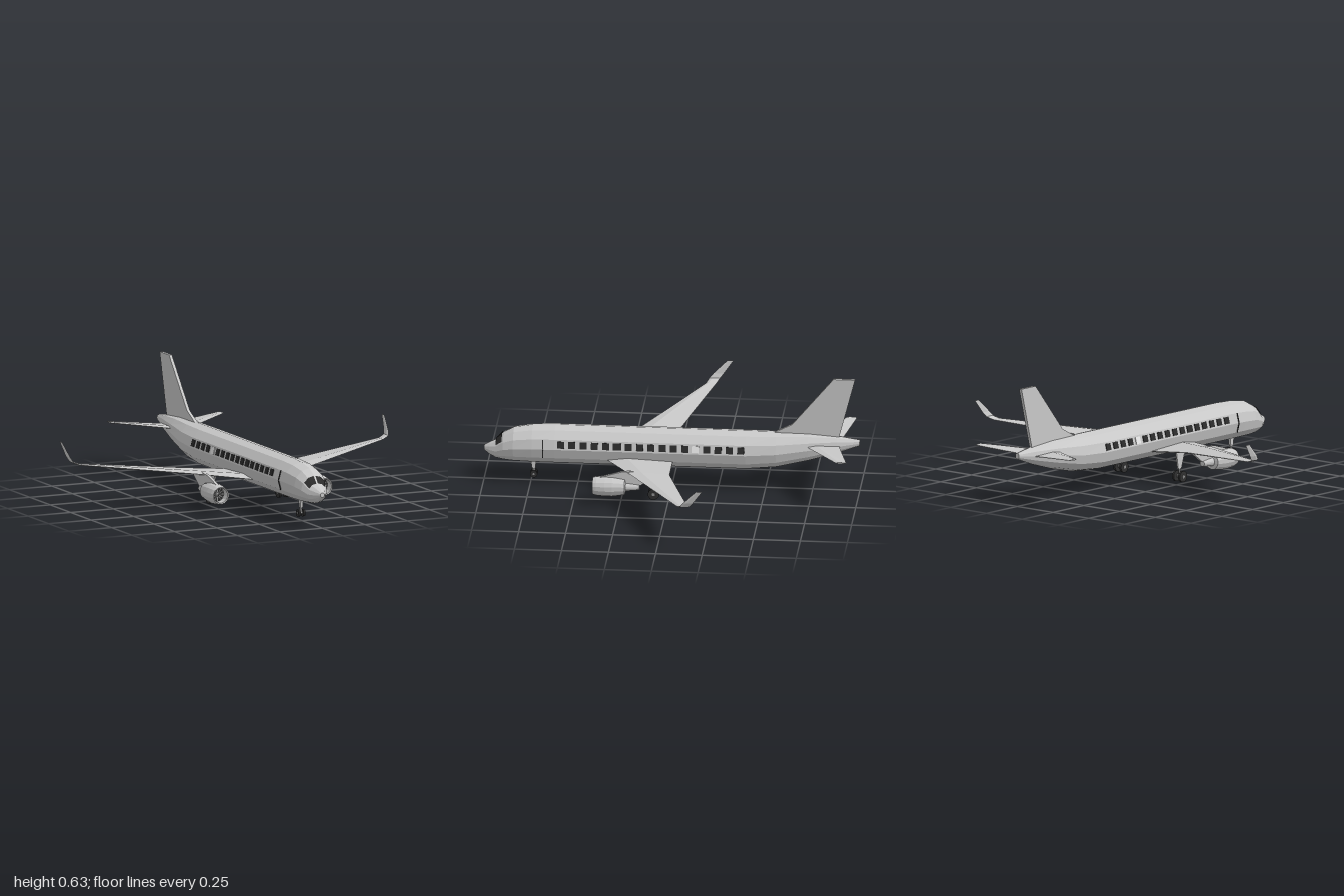
import * as THREE from 'three';

const mat = (name, color, extra = {}) => {
  const m = new THREE.MeshStandardMaterial({ color, flatShading: true, ...extra });
  m.name = name;
  return m;
};
const V = (x, y, z) => new THREE.Vector3(x, y, z);

// Skin a list of equal-length rings, cap both ends, and turn the faces outward
function loft(rings) {
  const tris = [], n = rings[0].length;
  for (let i = 0; i < rings.length - 1; i++) {
    for (let j = 0; j < n; j++) {
      const k = (j + 1) % n, a = rings[i], b = rings[i + 1];
      tris.push([a[j], a[k], b[k]], [a[j], b[k], b[j]]);
    }
  }
  const end = rings[rings.length - 1];
  for (let j = 1; j < n - 1; j++) {
    tris.push([rings[0][0], rings[0][j + 1], rings[0][j]], [end[0], end[j], end[j + 1]]);
  }
  let volume = 0;
  for (const [a, b, c] of tris) volume += a.dot(b.clone().cross(c));
  const pts = tris.flatMap(([a, b, c]) => (volume < 0 ? [a, c, b] : [a, b, c]));
  const g = new THREE.BufferGeometry().setFromPoints(pts);
  g.computeVertexNormals();
  return g;
}

// Flat plate drawn as [z, y] points, centred on x
function plate(points, width, x = 0) {
  const shape = new THREE.Shape(points.map(([z, y]) => new THREE.Vector2(-z, y)));
  return new THREE.ExtrudeGeometry(shape, { depth: width, bevelEnabled: false })
    .rotateY(Math.PI / 2).translate(x - width / 2, 0, 0);
}

// Wing from stations [x, y, leading z, trailing z, thickness, lean of the surface normal]
function wing(stations, s) {
  return loft(stations.map(([x, y, le, te, t, lean]) => {
    const nx = -Math.sin(lean), ny = Math.cos(lean);
    return [[0, 0], [0.3, 0.5], [1, 0.1], [1, -0.1], [0.3, -0.5]].map(([c, h]) =>
      V(s * (x + nx * h * t), y + ny * h * t, le + (te - le) * c));
  }));
}

export function createModel() {
  const root = new THREE.Group();
  const grey = mat('bodyGrey', 0xc8c8c8);
  const dark = mat('glassDark', 0x2c2c2c, { side: THREE.DoubleSide });
  const tyre = mat('tyreDark', 0x303030);
  const pale = mat('paleWindow', 0xf0f0f0);
  const metal = mat('metalGrey', 0x909090);
  const add = (name, geo, material = grey, parent = root) => {
    const m = new THREE.Mesh(geo, material);
    m.name = name;
    parent.add(m);
    return m;
  };

  // Fuselage: sections of z, half width, bottom y, top y
  const sections = [
    [1, 0.012, 0.165, 0.19], [0.97, 0.033, 0.14, 0.208], [0.935, 0.055, 0.125, 0.225],
    [0.895, 0.075, 0.117, 0.268], [0.84, 0.09, 0.112, 0.298], [0.74, 0.101, 0.11, 0.315],
    [0.62, 0.105, 0.11, 0.32], [-0.4, 0.105, 0.11, 0.32], [-0.56, 0.094, 0.125, 0.32],
    [-0.73, 0.068, 0.165, 0.318], [-0.88, 0.04, 0.21, 0.307], [-1, 0.014, 0.255, 0.288],
  ];
  const ring = ([z, w, yb, yt]) => Array.from({ length: 12 }, (_, i) => {
    const a = i * Math.PI / 6;
    return V(w * Math.cos(a), (yb + yt) / 2 + (yt - yb) / 2 * Math.sin(a), z);
  });
  add('fuselage', loft(sections.map(ring)));

  // Windscreen panes lie just above the nose facets
  const low = ring(sections[2]), high = ring(sections[3]);
  [[1, 2, 0.1, 1], [2, 3, 0, 0.86], [4, 3, 0, 0.86], [5, 4, 0.1, 1]].forEach(([i, j, u0, u1]) => {
    const at = (u, v) => low[i].clone().lerp(low[j], u)
      .lerp(high[i].clone().lerp(high[j], u), v).add(V(0, 0.003, 0.004));
    const [a, b, c, d] = [at(u0, 0.08), at(u1, 0.08), at(u1, 0.92), at(u0, 0.92)];
    const g = new THREE.BufferGeometry().setFromPoints(i < j ? [a, b, c, a, c, d] : [a, c, b, a, d, c]);
    g.computeVertexNormals();
    add('windscreenPane', g, dark);
  });

  // Tail fin with its forward fillet
  add('tailFin', plate([[-0.54, 0.315], [-0.64, 0.365], [-0.86, 0.63], [-0.975, 0.63], [-0.89, 0.3]], 0.017));

  // Wheel pair with hubs, axle and leg
  const gear = (name, x, z, r, gap, width, top) => {
    const g = new THREE.Group();
    g.name = name;
    root.add(g);
    for (const k of [-1, 1]) {
      add('wheel', new THREE.CylinderGeometry(r, r, width, 16).rotateZ(Math.PI / 2)
        .translate(x + k * gap, r === 0.03 ? r : 0.04, z), tyre, g);
    }
    const y = r === 0.03 ? r : 0.04;
    add('axle', new THREE.CylinderGeometry(r * 0.3, r * 0.3, gap * 2 + width + 0.004, 10)
      .rotateZ(Math.PI / 2).translate(x, y, z), metal, g);
    add('leg', new THREE.CylinderGeometry(0.006, 0.006, top - y, 8).translate(x, (top + y) / 2, z), grey, g);
    return g;
  };
  const noseGear = gear('noseGear', 0, 0.735, 0.02, 0.014, 0.01, 0.12);
  add('noseGearDoor', plate([[0.752, 0.115], [0.722, 0.115], [0.727, 0.07], [0.745, 0.07]], 0.014), grey, noseGear);

  for (const s of [1, -1]) {
    const side = s > 0 ? 'left' : 'right';

    // Wing sweeping into an upturned tip
    add(side + 'Wing', wing([
      [0, 0.152, 0.385, -0.01, 0.034, 0.08], [0.1, 0.162, 0.33, -0.01, 0.03, 0.08],
      [0.34, 0.186, 0.198, -0.015, 0.02, 0.08], [0.89, 0.229, -0.105, -0.16, 0.01, 0.1],
      [0.925, 0.243, -0.118, -0.175, 0.009, 0.8], [0.935, 0.268, -0.14, -0.195, 0.008, 1.35],
      [0.947, 0.338, -0.213, -0.245, 0.005, 1.4],
    ], s));

    // Horizontal tail
    add(side + 'Stabiliser', wing([
      [0, 0.255, -0.685, -0.89, 0.016, 0.08], [0.07, 0.261, -0.73, -0.9, 0.015, 0.08],
      [0.33, 0.283, -0.9, -0.957, 0.009, 0.08],
    ], s));

    // Cabin windows on the upper side facet
    for (let i = 0; i < 17; i++) {
      const w = add(side + 'CabinWindow', new THREE.BoxGeometry(0.006, 0.037, i === 5 ? 0.044 : 0.037),
        i === 12 ? pale : dark);
      w.position.set(s * 0.0985, 0.241, 0.585 - 0.06 * i);
      w.rotation.z = s * 0.262;
    }

    // Door seam across two facets
    for (const k of [1, -1]) {
      const seam = add(side + 'DoorSeam', new THREE.BoxGeometry(0.006, 0.052, 0.004), dark);
      seam.position.set(s * 0.0975, 0.214 + k * 0.026, 0.68);
      seam.rotation.z = s * k * 0.262;
    }

    // Engine: cowl, exhaust, fan and spinner
    const engine = new THREE.Group();
    engine.name = side + 'Engine';
    engine.position.set(s * 0.305, 0.1, 0);
    root.add(engine);
    const profile = [[0, 0.145], [0.016, 0.147], [0.024, 0.22], [0.044, 0.225], [0.054, 0.29],
      [0.055, 0.33], [0.051, 0.375], [0.046, 0.395], [0.04, 0.392], [0.039, 0.335]];
    add('cowl', new THREE.LatheGeometry(profile.map(([r, y]) => new THREE.Vector2(r, y)), 14)
      .rotateX(Math.PI / 2), mat_double(grey), engine);
    add('fanDisc', new THREE.CircleGeometry(0.041, 14).translate(0, 0, 0.345), dark, engine);
    for (let i = 0; i < 12; i++) {
      add('fanBlade', new THREE.BoxGeometry(0.004, 0.026, 0.003).translate(0, 0.024, 0.35)
        .rotateZ(i * Math.PI / 6), metal, engine);
    }
    add('spinner', new THREE.ConeGeometry(0.013, 0.025, 12).rotateX(Math.PI / 2)
      .translate(0, 0, 0.358), metal, engine);
    add(side + 'Pylon', plate([[0.36, 0.15], [0.24, 0.185], [0.18, 0.19], [0.05, 0.178],
      [0.14, 0.112], [0.22, 0.12]], 0.016, s * 0.305));

    // Main landing gear
    const main = gear(side + 'MainGear', s * 0.205, 0.08, 0.03, 0.021, 0.012, 0.17);
    add('gearDoor', plate([[0.12, 0.165], [0.05, 0.165], [0.065, 0.07], [0.09, 0.07]], 0.009, s * 0.205), grey, main);
  }
  return root;

  // Cowl shares the body material, shown from both sides
  function mat_double(m) {
    m.side = THREE.DoubleSide;
    return m;
  }
}
